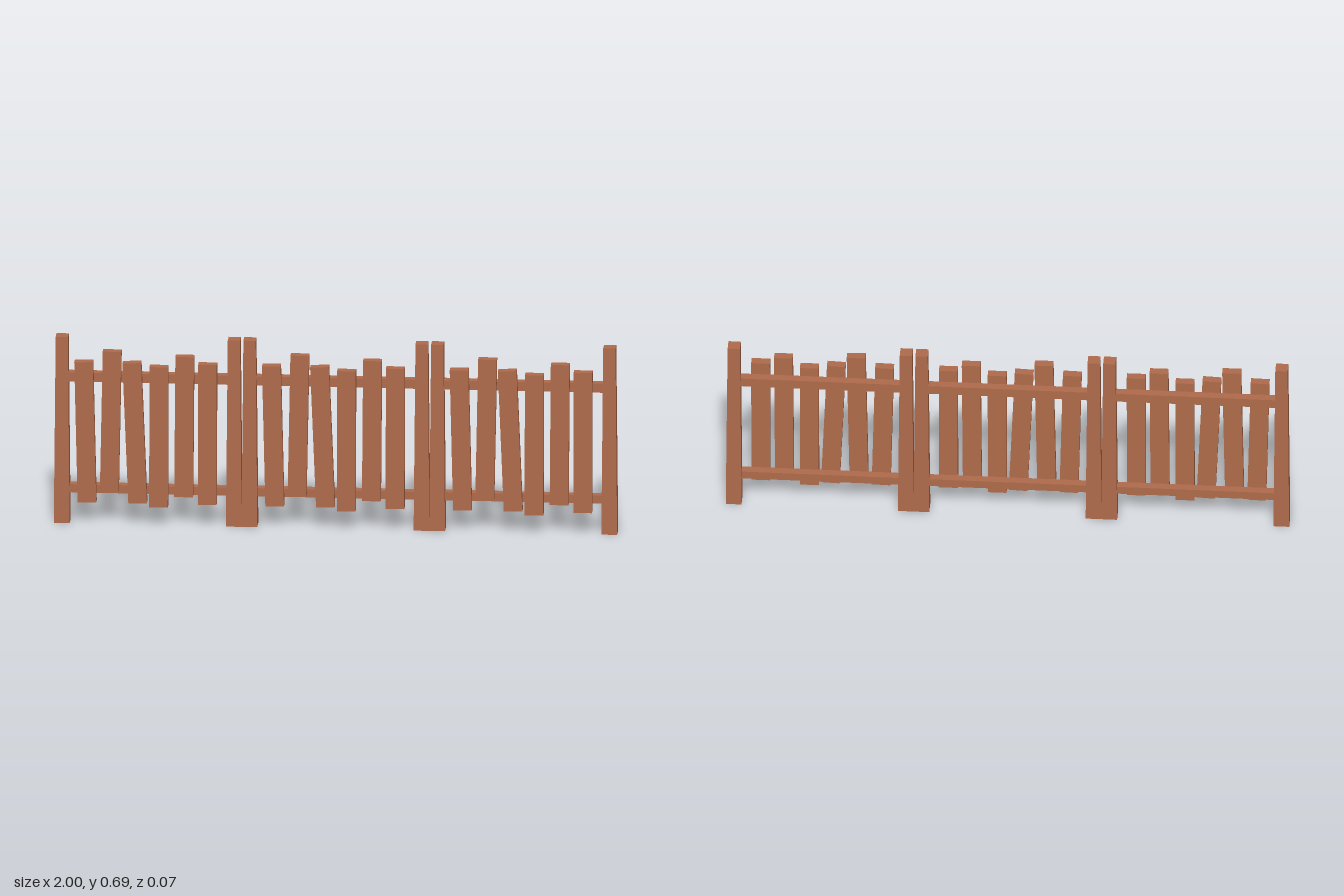
import * as THREE from 'three';

const wood = new THREE.MeshStandardMaterial({ color: 0xb06b4b });
wood.name = 'brown wood';

function box(name, w, h, d, x, y, z) {
  const mesh = new THREE.Mesh(new THREE.BoxGeometry(w, h, d), wood);
  mesh.name = name;
  mesh.position.set(x, y, z);
  return mesh;
}

// Square post, wider at the foot than at the top
function post(x) {
  const height = 0.69;
  const mesh = box('post', 0.056, height, 0.056, x, height / 2, -0.0065);
  const p = mesh.geometry.attributes.position;
  for (let i = 0; i < p.count; i++) {
    if (p.getY(i) > 0) {
      p.setX(i, p.getX(i) * 0.78);
      p.setZ(i, p.getZ(i) * 0.78);
    }
  }
  mesh.geometry.computeVertexNormals();
  return mesh;
}

// Pickets of one panel: x at the top, x at the bottom, height of the top
const PICKETS = [
  [-0.227, -0.215, 0.604],
  [-0.126, -0.136, 0.645],
  [-0.056, -0.035, 0.604],
  [0.040, 0.039, 0.591],
  [0.132, 0.128, 0.631],
  [0.213, 0.212, 0.604],
];
const PICKET_LENGTH = 0.521;

function createPanel() {
  const panel = new THREE.Group();
  panel.name = 'fencePanel';

  // End posts
  for (const side of [-1, 1]) panel.add(post(side * 0.3055));

  // Rails behind the pickets
  panel.add(box('upperRail', 0.6, 0.034, 0.03, 0, 0.539, -0.01));
  panel.add(box('lowerRail', 0.6, 0.03, 0.03, 0, 0.125, -0.01));

  // Slightly crooked pickets
  for (const [xTop, xBottom, top] of PICKETS) {
    const picket = box('picket', 0.066, PICKET_LENGTH, 0.0305,
      (xTop + xBottom) / 2, top - PICKET_LENGTH / 2, 0.02);
    picket.rotation.z = -Math.atan2(xTop - xBottom, PICKET_LENGTH);
    panel.add(picket);
  }
  return panel;
}

export function createModel() {
  const fence = new THREE.Group();
  fence.name = 'fence';
  // Three equal panels side by side
  for (let i = -1; i <= 1; i++) {
    const panel = createPanel();
    panel.position.x = i * 0.6665;
    fence.add(panel);
  }
  return fence;
}
